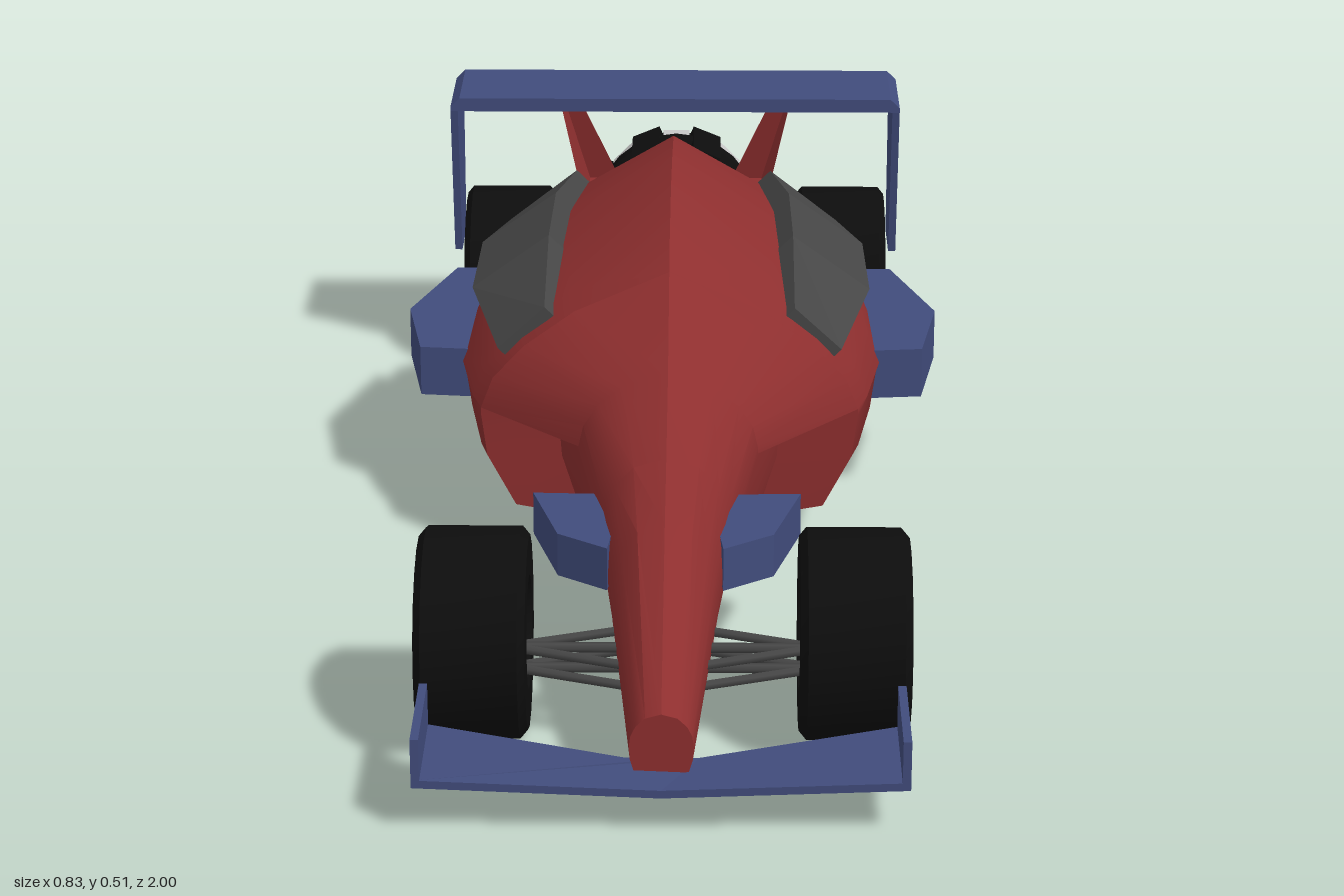
import * as THREE from 'three';
import { toCreasedNormals } from 'three/addons/utils/BufferGeometryUtils.js';

const mat = (name, color) => Object.assign(new THREE.MeshStandardMaterial({ color }), { name });

// Skins closed rings of [x, y, z]; rings run front to back, clockwise seen from the front
function loft(rings, crease) {
  const n = rings[0].length, idx = [], last = (rings.length - 1) * n;
  for (let i = 0; i < rings.length - 1; i++) {
    for (let j = 0; j < n; j++) {
      const a = i * n + j, b = i * n + (j + 1) % n;
      idx.push(a, b, a + n, b, b + n, a + n);
    }
  }
  for (let j = 1; j < n - 1; j++) idx.push(0, j + 1, j, last, last + j, last + j + 1);
  const g = new THREE.BufferGeometry();
  g.setAttribute('position', new THREE.Float32BufferAttribute(rings.flat(2), 3));
  g.setIndex(idx);
  return toCreasedNormals(g, crease);
}

// Slab from a plan outline of [x, z] points, between heights y0 and y1
function slab(points, y0, y1) {
  const shape = new THREE.Shape(points.map(([x, z]) => new THREE.Vector2(x, -z)));
  return new THREE.ExtrudeGeometry(shape, { depth: y1 - y0, bevelEnabled: false })
    .rotateX(-Math.PI / 2).translate(0, y0, 0);
}

// Plate from a side outline of [z, y] points, between x0 and x1
function sidePlate(points, x0, x1) {
  const shape = new THREE.Shape(points.map(([z, y]) => new THREE.Vector2(-z, y)));
  return new THREE.ExtrudeGeometry(shape, { depth: x1 - x0, bevelEnabled: false })
    .rotateY(Math.PI / 2).translate(x0, 0, 0);
}

// Thin rod between two points
function rod(a, b, r) {
  const curve = new THREE.LineCurve3(new THREE.Vector3(...a), new THREE.Vector3(...b));
  return new THREE.TubeGeometry(curve, 1, r, 6);
}

export function createModel() {
  const car = new THREE.Group();
  car.name = 'racingCar';
  const red = mat('bodyRed', 0x8e2f2f), blue = mat('wingBlue', 0x414c7c);
  const grey = mat('panelGrey', 0x464646), black = mat('tyreBlack', 0x0d0d0d);
  const silver = mat('engineSilver', 0xc8c8c8);
  const add = (name, geometry, material) => {
    const m = new THREE.Mesh(geometry, material);
    m.name = name;
    car.add(m);
    return m;
  };

  // Body sections: z, top, half width, waist height, lower half width, floor, roof peak amount
  const sections = [
    [0.95, 0.15, 0.042, 0.105, 0.042, 0.06, 0],
    [0.6, 0.265, 0.075, 0.165, 0.075, 0.082, 0],
    [0.44, 0.295, 0.092, 0.19, 0.092, 0.075, 0],
    [0.25, 0.35, 0.13, 0.235, 0.13, 0.065, 0.3],
    [0.1, 0.45, 0.28, 0.235, 0.165, 0.065, 0.8],
    [0.099, 0.45, 0.28, 0.235, 0.28, 0.065, 0.8],
    [0.05, 0.482, 0.295, 0.235, 0.292, 0.063, 1],
    [-0.11, 0.512, 0.32, 0.23, 0.316, 0.062, 1],
    [-0.28, 0.505, 0.315, 0.23, 0.31, 0.062, 1],
    [-0.46, 0.48, 0.285, 0.23, 0.28, 0.062, 1],
    [-0.66, 0.385, 0.18, 0.22, 0.18, 0.065, 0.9],
    [-0.82, 0.32, 0.11, 0.21, 0.11, 0.09, 0.5],
  ];
  const round = [[0, 1], [0.5, 0.87], [0.8, 0.6], [0.95, 0.31], [1, 0]];
  const peaked = [[0, 1], [0.5, 0.67], [0.76, 0.42], [0.93, 0.2], [1, 0]];
  const lower = [[1, 0.06], [0.97, 0.45], [0.82, 0.92], [0.55, 1], [0, 1]];
  const bodyRings = sections.map(([z, top, w, mid, lw, bot, k]) => {
    const half = round.map(([x, y], i) => [
      w * THREE.MathUtils.lerp(x, peaked[i][0], k),
      mid + (top - mid) * THREE.MathUtils.lerp(y, peaked[i][1], k), z]);
    for (const [x, y] of lower) half.push([lw * x, mid + (bot - mid) * y, z]);
    const mirrored = half.slice(1, -1).reverse().map(([x, y, zz]) => [-x, y, zz]);
    return [...half, ...mirrored];
  });
  add('body', loft(bodyRings, 0.5), red);

  // Front wing with a shallow V across its width
  const wing = slab([[-0.32, 1], [0, 1], [0.32, 1], [0.32, 0.835], [0.05, 0.91], [0, 0.91],
    [-0.05, 0.91], [-0.32, 0.835]], 0.055, 0.066);
  const p = wing.attributes.position;
  for (let i = 0; i < p.count; i++) p.setY(i, p.getY(i) + 0.04 * Math.abs(p.getX(i)));
  wing.computeVertexNormals();
  add('frontWing', wing, blue);

  // Rear wing: plank with clipped corners
  const plank = new THREE.Shape([[-0.37, 0.458], [0.37, 0.458], [0.37, 0.465], [0.355, 0.48],
    [-0.355, 0.48], [-0.37, 0.465]].map(q => new THREE.Vector2(...q)));
  add('rearWing', new THREE.ExtrudeGeometry(plank, { depth: 0.165, bevelEnabled: false })
    .translate(0, 0, -0.822), blue);

  // Wheel with sunken hub, turned around x
  const tyre = toCreasedNormals(new THREE.LatheGeometry([
    [0, -0.05], [0.07, -0.05], [0.078, -0.074], [0.132, -0.074], [0.144, -0.064],
    [0.144, 0.064], [0.132, 0.074], [0.078, 0.074], [0.07, 0.05], [0, 0.05],
  ].map(q => new THREE.Vector2(...q)), 18).rotateZ(Math.PI / 2), 0.5);

  for (const s of [1, -1]) {
    const side = s > 0 ? 'left' : 'right';
    const X = pts => pts.map(([x, z]) => [s * x, z]);
    const plate = (pts, x0, x1) => sidePlate(pts, Math.min(s * x0, s * x1), Math.max(s * x0, s * x1));

    add(side + 'FrontWheel', tyre, black).position.set(s * 0.256, 0.145, 0.69);
    add(side + 'RearWheel', tyre, black).position.set(s * 0.277, 0.145, -0.76);
    add(side + 'RearAxle', rod([0, 0.145, -0.76], [s * 0.24, 0.145, -0.76], 0.015), grey);

    // Front suspension wishbones
    for (const y of [0.097, 0.127]) {
      for (const z of [0.64, 0.7, 0.76]) {
        add(side + 'Wishbone', rod([s * 0.04, y, z], [s * 0.21, y, 0.7], 0.007), grey);
      }
    }

    add(side + 'FrontEndplate', plate([[0.835, 0.068], [1, 0.068], [1, 0.137], [0.835, 0.137]],
      0.31, 0.321), blue);
    add(side + 'RearEndplate', plate([[-0.657, 0.465], [-0.822, 0.465], [-0.815, 0.2], [-0.705, 0.2]],
      0.358, 0.37), blue);

    // Canard beside the nose and pod on the flank
    add(side + 'Canard', slab(X([[0.06, 0.38], [0.19, 0.375], [0.15, 0.52], [0.08, 0.57]]),
      0.152, 0.215), blue);
    add(side + 'SidePod', slab(X([[0.27, -0.1], [0.385, -0.112], [0.413, -0.28], [0.35, -0.475],
      [0.24, -0.475]]), 0.172, 0.25), blue);

    // Raised window panel: z, upper outer corner, lower outer corner, thickness
    const rings = [
      [0.075, 0.185, 0.385, 0.255, 0.32, 0.035],
      [-0.1, 0.185, 0.437, 0.302, 0.352, 0.04],
      [-0.3, 0.182, 0.437, 0.298, 0.355, 0.04],
      [-0.465, 0.155, 0.42, 0.26, 0.338, 0.04],
    ].map(([z, xt, yt, xb, yb, t]) => {
      const r = [[xt, yt, z], [xb, yb, z], [xb - t, yb - t, z], [xt - t, yt - t, z]];
      return s > 0 ? r : r.reverse().map(([x, y, zz]) => [-x, y, zz]);
    });
    add(side + 'Window', loft(rings, 0.1), grey);

    // Strut leaning out to the rear wing
    const strut = [[0.46, 0.178, 0.012, -0.7, -0.76], [0.3, 0.12, 0.025, -0.6, -0.79]]
      .map(([y, x, t, z0, z1]) => [[x - t, y, z0], [x + t, y, z0], [x + t, y, z1], [x - t, y, z1]]
        .map(([a, b, c]) => [s * a, b, c]));
    add(side + 'WingStrut', loft(s > 0 ? strut : strut.map(r => r.reverse()), 0.1), red);
  }

  // Engine drum with ribs, patches and nozzle, axis along z
  const engine = new THREE.Group();
  engine.name = 'engine';
  engine.position.set(0, 0.207, 0);
  car.add(engine);
  const part = (name, geometry, material) => {
    const m = new THREE.Mesh(geometry, material);
    m.name = name;
    engine.add(m);
  };
  const drum = [[0, -0.97], [0.075, -0.97], [0.1, -0.958], [0.118, -0.955], [0.128, -0.94],
    [0.128, -0.9], [0.138, -0.895], [0.138, -0.865], [0.128, -0.86], [0.128, -0.83],
    [0.11, -0.78], [0, -0.78]];
  part('engineDrum', toCreasedNormals(new THREE.LatheGeometry(
    drum.map(q => new THREE.Vector2(...q)), 24).rotateX(Math.PI / 2), 0.5), black);
  for (let i = 0; i < 8; i++) {
    const a = i * Math.PI / 4;
    part('enginePatch', new THREE.BoxGeometry(0.045, 0.008, 0.028)
      .translate(0, 0.127, -0.922).rotateZ(a), silver);
    part('engineBlock', new THREE.BoxGeometry(0.05, 0.025, 0.12)
      .translate(0, 0.125, -0.88).rotateZ(a + Math.PI / 8), black);
  }
  const nozzle = [[0, -1], [0.022, -1], [0.026, -0.975], [0.038, -0.965], [0.038, -0.94]];
  part('nozzle', toCreasedNormals(new THREE.LatheGeometry(
    nozzle.map(q => new THREE.Vector2(...q)), 16).rotateX(Math.PI / 2), 0.5), silver);

  return car;
}
